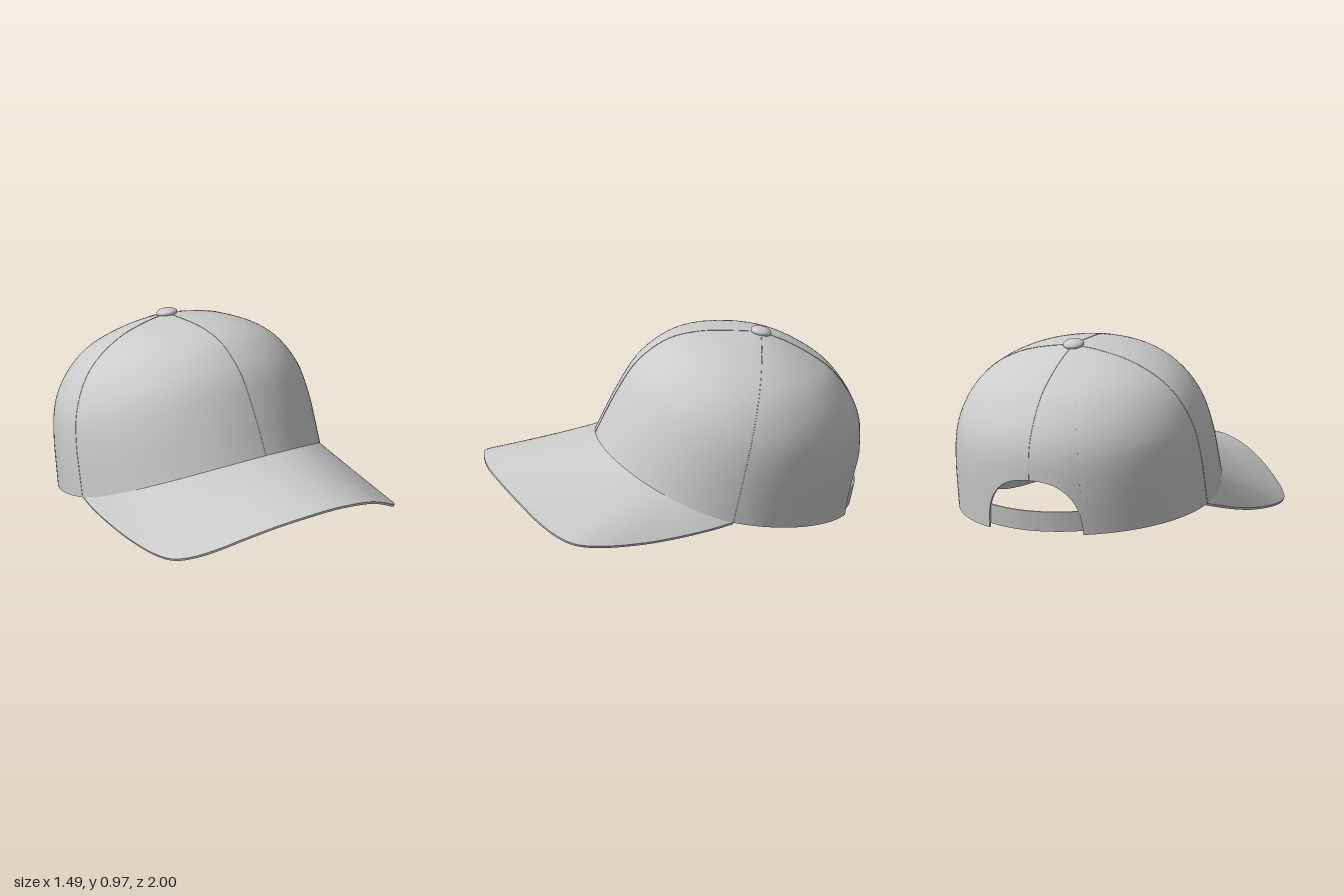
import * as THREE from 'three';
import { toCreasedNormals } from 'three/addons/utils/BufferGeometryUtils.js';

const material = new THREE.MeshStandardMaterial({ color: 0xcccccc });
const OPENING = 0.4116; // half angle of the rear opening

// Tilted cap frame: h runs up the leaning axis, f runs forward
const place = (x, h, f) =>
  new THREE.Vector3(x, 0.115 + 0.975 * h + 0.223 * f, -0.28 - 0.223 * h + 0.975 * f);

// Meridian profiles as (height, radius), from rim to apex
const profile = (pts) =>
  new THREE.CatmullRomCurve3(pts.map(([h, r]) => new THREE.Vector3(h, r, 0)));
const front = profile([[0.124, 0.736], [0.363, 0.678], [0.541, 0.616], [0.651, 0.539],
  [0.727, 0.454], [0.79, 0.314], [0.8235, 0.168], [0.852, 0]]);
const side = profile([[0, 0.7], [0.3, 0.692], [0.45, 0.665], [0.6, 0.59],
  [0.7, 0.49], [0.785, 0.33], [0.828, 0.17], [0.852, 0]]);
const back = profile([[0.036, 0.685], [0.33, 0.655], [0.485, 0.617], [0.593, 0.552],
  [0.717, 0.421], [0.775, 0.303], [0.825, 0.15], [0.852, 0]]);

// Point on the crown at angle a (0 = front, towards +x) and t from rim to apex
function crownPoint(a, t, inset = 0) {
  const c = Math.cos(a);
  const s = Math.sin(a);
  const m = (c > 0 ? front : back).getPoint(t);
  const n = side.getPoint(t);
  const w = Math.abs(c) ** 1.5;
  const h = m.x * w + n.x * (1 - w) - inset * t;
  return place(Math.max(0, n.y - inset) * s, h, Math.max(0, m.y - inset) * c);
}

// Where a meridian starts: at the rim, or higher above the arched rear opening
function startT(a) {
  const q = Math.abs(Math.sin(a)) * 0.7 / 0.28;
  if (Math.cos(a) > 0 || q >= 1) return 0;
  const arch = 0.29 * (1 - q ** 2.5) ** 0.4;
  let lo = 0;
  let hi = 0.5;
  for (let i = 0; i < 24; i++) {
    const mid = (lo + hi) / 2;
    if (crownPoint(a, mid).y < arch) lo = mid;
    else hi = mid;
  }
  return lo;
}

// Surface through columns of points
function loft(columns, crease = 0.6) {
  const n = columns[0].length;
  const index = [];
  for (let j = 0; j < columns.length - 1; j++) {
    for (let i = 0; i < n - 1; i++) {
      const a = j * n + i;
      const c = a + n;
      index.push(a, a + 1, c + 1, a, c + 1, c);
    }
  }
  const geometry = new THREE.BufferGeometry().setFromPoints(columns.flat());
  geometry.setIndex(index);
  return toCreasedNormals(geometry, crease);
}

function add(group, name, geometry) {
  const mesh = new THREE.Mesh(geometry, material);
  mesh.name = name;
  group.add(mesh);
  return mesh;
}

// Dome with an inner lining and an arched opening at the back
function crownGeometry() {
  const angles = [];
  for (let i = 0; i <= 96; i++) angles.push((i / 48 - 1) * (Math.PI - OPENING));
  for (let i = 1; i <= 32; i++) {
    angles.push(Math.PI + OPENING * Math.sin((i / 32 - 0.5) * Math.PI));
  }
  const rows = 28;
  return loft(angles.map((a) => {
    const t0 = startT(a);
    const column = [];
    for (let i = 0; i <= rows; i++) column.push(crownPoint(a, 1 - (1 - t0) * i / rows));
    for (let i = 0; i <= rows; i++) column.push(crownPoint(a, t0 + (1 - t0) * i / rows, 0.01));
    return column;
  }));
}

// Curved visor ruled from the front rim to its outer edge
function brimGeometry() {
  const half = [[0, 0.276, 1], [0.15, 0.264, 0.985], [0.31, 0.222, 0.92], [0.46, 0.158, 0.83],
    [0.58, 0.095, 0.74], [0.67, 0.048, 0.65], [0.725, 0.022, 0.56], [0.745, 0.014, 0.43],
    [0.74, 0.026, 0.2], [0.73, 0.056, 0], [0.715, 0.093, -0.18], [0.697, 0.117, -0.28]];
  const mirrored = half.slice(1).reverse().map(([x, y, z]) => [-x, y, z]);
  const edge = new THREE.CatmullRomCurve3(
    [...mirrored, ...half].map((p) => new THREE.Vector3(...p)));
  const columns = [];
  for (let j = 0; j <= 88; j++) {
    const s = j / 88;
    const inner = crownPoint((s - 0.5) * Math.PI, 0, 0.004);
    const outer = edge.getPoint(s);
    const top = [];
    for (let i = 0; i <= 8; i++) top.push(inner.clone().lerp(outer, i / 8));
    const under = top.map((p) => new THREE.Vector3(p.x * 0.993, p.y - 0.012, p.z)).reverse();
    columns.push([...top, ...under, top[0].clone()]);
  }
  return loft(columns);
}

// Strap bridging the opening inside the crown, with rounded ends
function strapGeometry() {
  const reach = 0.49;
  const round = 0.03;
  const columns = [];
  const section = (d, height) => {
    const at = (inset, h) => place((0.688 - inset) * Math.sin(Math.PI + d), 0.105 + h,
      -(0.668 - inset) * Math.cos(d));
    columns.push([at(0, height), at(0, -height), at(0.008, -height),
      at(0.008, height), at(0, height)]);
  };
  section(-reach, 0);
  for (let j = 0; j <= 40; j++) {
    const d = reach * Math.sin((j / 40 - 0.5) * Math.PI);
    const gap = Math.max(0, round - (reach - Math.abs(d)) * 0.7);
    section(d, 0.056 - round + Math.sqrt(Math.max(0, round ** 2 - gap ** 2)));
  }
  section(reach, 0);
  return loft(columns);
}

export function createModel() {
  const cap = new THREE.Group();
  cap.name = 'cap';
  add(cap, 'crown', crownGeometry());
  add(cap, 'brim', brimGeometry());
  add(cap, 'strap', strapGeometry());

  // Fine seams between the four panels
  ['frontSeam', 'leftSeam', 'backSeam', 'rightSeam'].forEach((name, k) => {
    const a = k * Math.PI / 2;
    const t0 = startT(a);
    const points = [];
    for (let i = 0; i <= 20; i++) points.push(crownPoint(a, t0 + (1 - t0) * i / 20));
    add(cap, name, new THREE.TubeGeometry(new THREE.CatmullRomCurve3(points), 40, 0.002, 6));
  });

  // Flattened button on the leaning axis
  const button = add(cap, 'button', new THREE.SphereGeometry(1, 24, 16));
  button.scale.set(0.056, 0.025, 0.056);
  button.rotation.x = -0.225;
  button.position.copy(place(0, 0.855, 0));
  return cap;
}
